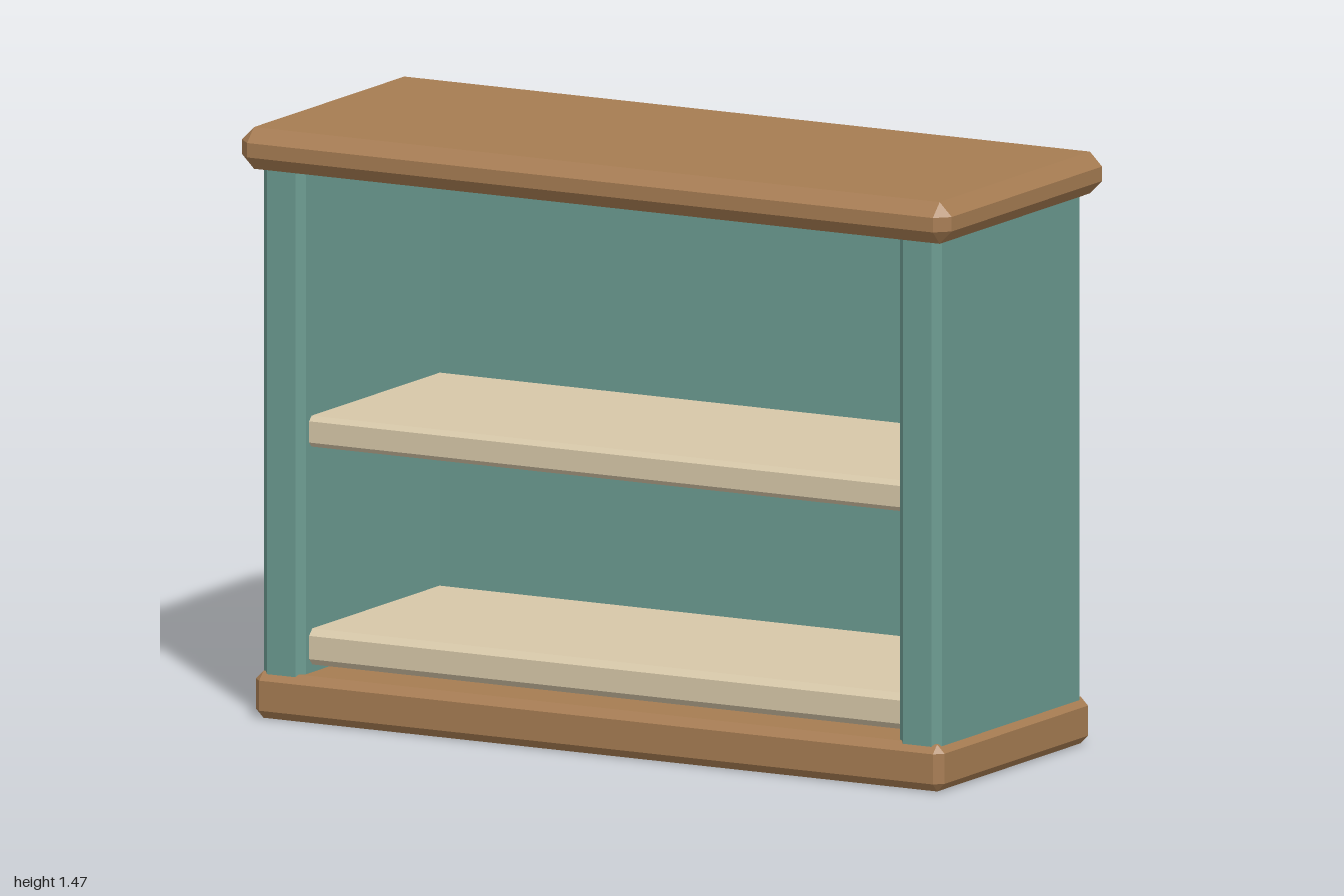
import * as THREE from 'three';
import { ConvexGeometry } from 'three/addons/geometries/ConvexGeometry.js';

// Box spanning min..max with every edge cut at 45 degrees by c
function chamferBox([x0, y0, z0], [x1, y1, z1], c) {
  const half = [(x1 - x0) / 2, (y1 - y0) / 2, (z1 - z0) / 2];
  const points = [];
  for (const sx of [-1, 1]) for (const sy of [-1, 1]) for (const sz of [-1, 1]) {
    for (let axis = 0; axis < 3; axis++) {
      // each corner becomes three points, one on each adjoining face
      const [x, y, z] = half.map((h, i) => (i === axis ? h : h - c));
      points.push(new THREE.Vector3(sx * x, sy * y, sz * z));
    }
  }
  const geometry = new ConvexGeometry(points);
  geometry.translate((x0 + x1) / 2, (y0 + y1) / 2, (z0 + z1) / 2);
  return geometry;
}

export function createModel() {
  const group = new THREE.Group();
  const wood = new THREE.MeshStandardMaterial({ color: 0xa67c52 });
  const paint = new THREE.MeshStandardMaterial({ color: 0x6b9a90 });
  const cream = new THREE.MeshStandardMaterial({ color: 0xd6c7a8 });

  const add = (name, material, min, max, chamfer) => {
    const mesh = new THREE.Mesh(chamferBox(min, max, chamfer), material);
    mesh.name = name;
    group.add(mesh);
  };

  // Plinth and overhanging top
  add('base', wood, [-0.97, 0, -0.375], [0.97, 0.117, 0.375], 0.021);
  add('top', wood, [-1, 1.37, -0.405], [1, 1.474, 0.405], 0.034);

  // Side panels, their ends sunk into base and top
  add('leftSide', paint, [0.837, 0.004, -0.358], [0.955, 1.41, 0.36], 0.019);
  add('rightSide', paint, [-0.955, 0.004, -0.358], [-0.837, 1.41, 0.36], 0.019);

  // Back panel, slightly proud of the sides
  add('back', paint, [-0.905, 0.1, -0.364], [0.905, 1.364, -0.32], 0.005);

  // Shelves between the sides
  add('lowerShelf', cream, [-0.855, 0.136, -0.335], [0.855, 0.226, 0.325], 0.016);
  add('upperShelf', cream, [-0.855, 0.68, -0.335], [0.855, 0.757, 0.325], 0.012);

  return group;
}
